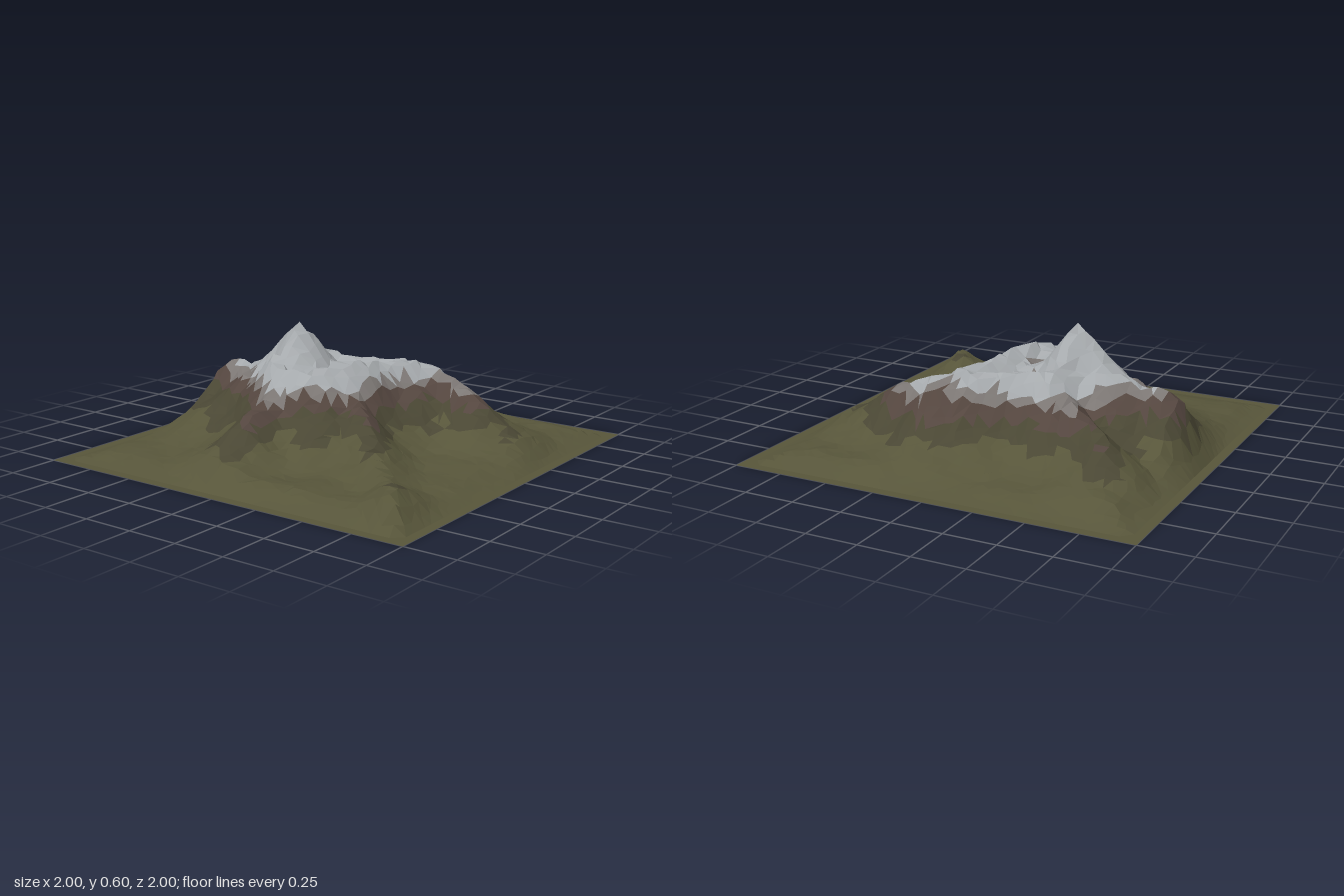
import * as THREE from 'three';

// Ridge lines as [x, z, height] points, with the width of their slopes
const RIDGES = [
  // summit cone
  { w: 0.36, pts: [[0, -0.28, 0.6], [0.01, -0.4, 0.48]] },
  // north ridge
  { w: 0.26, pts: [[0.01, -0.4, 0.48], [0.02, -0.62, 0.33], [0.05, -0.76, 0.34], [0.1, -0.95, 0.17]] },
  // curved western rim
  { w: 0.27, pts: [[-0.14, -0.32, 0.46], [-0.26, -0.2, 0.4], [-0.22, -0.05, 0.42], [-0.06, 0.02, 0.47]] },
  // high saddle between the rims
  { w: 0.32, pts: [[-0.1, -0.12, 0.42], [0.2, -0.05, 0.39]] },
  // south-east arm
  { w: 0.27, pts: [[-0.06, 0.02, 0.47], [0.15, 0.09, 0.43], [0.4, 0.22, 0.38]] },
  // front spur
  { w: 0.25, pts: [[0.4, 0.22, 0.38], [0.36, 0.45, 0.29], [0.33, 0.58, 0.25], [0.3, 0.7, 0.16], [0.22, 0.86, 0.1]] },
  // eastern shoulder
  { w: 0.25, pts: [[0.02, -0.3, 0.47], [0.27, -0.28, 0.43], [0.25, -0.1, 0.4], [0.38, 0.12, 0.38]] },
  // north-east ridge
  { w: 0.21, pts: [[0.27, -0.28, 0.42], [0.46, -0.58, 0.27], [0.58, -0.65, 0.2], [0.75, -0.72, 0.09], [0.94, -0.85, 0.03]] },
  // west ridge
  { w: 0.22, pts: [[-0.26, -0.2, 0.38], [-0.6, -0.15, 0.24], [-0.75, -0.1, 0.14], [-0.9, 0, 0.07]] },
  // south-west ridge
  { w: 0.2, pts: [[-0.08, 0.05, 0.42], [-0.18, 0.2, 0.3], [-0.3, 0.35, 0.2], [-0.45, 0.5, 0.13], [-0.62, 0.68, 0.1], [-0.85, 0.86, 0.15]] },
];

// Elevation bands, lowest first
const BANDS = [
  { name: 'grassSlopes', top: 0.14, color: 0x57553a },
  { name: 'scrubSlopes', top: 0.23, color: 0x4a4734 },
  { name: 'rockBand', top: 0.3, color: 0x54463f },
  { name: 'screeBand', top: 0.345, color: 0x7c7774 },
  { name: 'snowCap', top: Infinity, color: 0xa6aaad },
];

const hash = (i, j) => {
  const s = Math.sin(i * 127.1 + j * 311.7) * 43758.5453;
  return (s - Math.floor(s)) * 2 - 1;
};

// Smooth value noise in -1..1
function noise(x, z) {
  const i = Math.floor(x), j = Math.floor(z);
  const u = THREE.MathUtils.smoothstep(x - i, 0, 1);
  const v = THREE.MathUtils.smoothstep(z - j, 0, 1);
  const { lerp } = THREE.MathUtils;
  return lerp(lerp(hash(i, j), hash(i + 1, j), u), lerp(hash(i, j + 1), hash(i + 1, j + 1), u), v);
}

// Height of the slope falling away from one ridge
function ridgeHeight({ w, pts }, x, z) {
  let best = 0;
  for (let k = 0; k < pts.length - 1; k++) {
    const [ax, az, ah] = pts[k], [bx, bz, bh] = pts[k + 1];
    const dx = bx - ax, dz = bz - az;
    const t = THREE.MathUtils.clamp(((x - ax) * dx + (z - az) * dz) / (dx * dx + dz * dz), 0, 1);
    const d = Math.hypot(x - ax - t * dx, z - az - t * dz);
    best = Math.max(best, (ah + t * (bh - ah)) * Math.exp(-Math.pow(d / w, 1.3)));
  }
  return best;
}

function height(x, z) {
  let h = 0.045 + 0.025 * noise(x * 3 + 5, z * 3);
  for (const r of RIDGES) h = Math.max(h, ridgeHeight(r, x, z));
  // gullies and bumps, weaker towards the summit, then the fall to the flat border
  h += h * (0.65 - h) * (0.22 * noise(x * 6, z * 6) + 0.16 * noise(x * 13 + 3, z * 13));
  const edge = Math.max(Math.abs(x), Math.abs(z));
  return h * THREE.MathUtils.clamp((0.95 - edge) / 0.12, 0, 1);
}

export function createModel() {
  const group = new THREE.Group();
  group.name = 'mountain';
  const N = 42, step = 2 / N;

  // Jittered grid for irregular facets; the rim stays straight
  const grid = [];
  for (let j = 0; j <= N; j++) {
    for (let i = 0; i <= N; i++) {
      const inner = i > 1 && j > 1 && i < N - 1 && j < N - 1;
      const x = -1 + i * step + (inner ? hash(i, j) * step * 0.33 : 0);
      const z = -1 + j * step + (inner ? hash(i + 71, j + 13) * step * 0.33 : 0);
      grid.push(new THREE.Vector3(x, height(x, z), z));
    }
  }
  // Set the nearest corner exactly on the summit
  const summit = new THREE.Vector3(0, 0.6, -0.28);
  const flat = (p) => Math.hypot(p.x - summit.x, p.z - summit.z);
  grid.reduce((a, b) => (flat(b) < flat(a) ? b : a)).copy(summit);

  // Sort the triangles into elevation bands, with a ragged boundary
  const bandPositions = BANDS.map(() => []);
  const addTriangle = (a, b, c) => {
    const x = (a.x + b.x + c.x) / 3, z = (a.z + b.z + c.z) / 3;
    const y = (a.y + b.y + c.y) / 3 + 0.05 * noise(x * 9 + 40, z * 9);
    const k = BANDS.findIndex((band) => y < band.top);
    for (const p of [a, b, c]) bandPositions[k].push(p.x, p.y, p.z);
  };
  for (let j = 0; j < N; j++) {
    for (let i = 0; i < N; i++) {
      const a = grid[j * (N + 1) + i], b = grid[j * (N + 1) + i + 1];
      const c = grid[(j + 1) * (N + 1) + i], d = grid[(j + 1) * (N + 1) + i + 1];
      // cut each cell along the diagonal with the smaller drop
      if (Math.abs(a.y - d.y) < Math.abs(b.y - c.y)) {
        addTriangle(a, c, d);
        addTriangle(a, d, b);
      } else {
        addTriangle(a, c, b);
        addTriangle(b, c, d);
      }
    }
  }

  BANDS.forEach(({ name, color }, k) => {
    const geometry = new THREE.BufferGeometry();
    geometry.setAttribute('position', new THREE.Float32BufferAttribute(bandPositions[k], 3));
    geometry.computeVertexNormals();
    const material = new THREE.MeshStandardMaterial({ color, flatShading: true, side: THREE.DoubleSide });
    const mesh = new THREE.Mesh(geometry, material);
    mesh.name = name;
    group.add(mesh);
  });
  return group;
}
